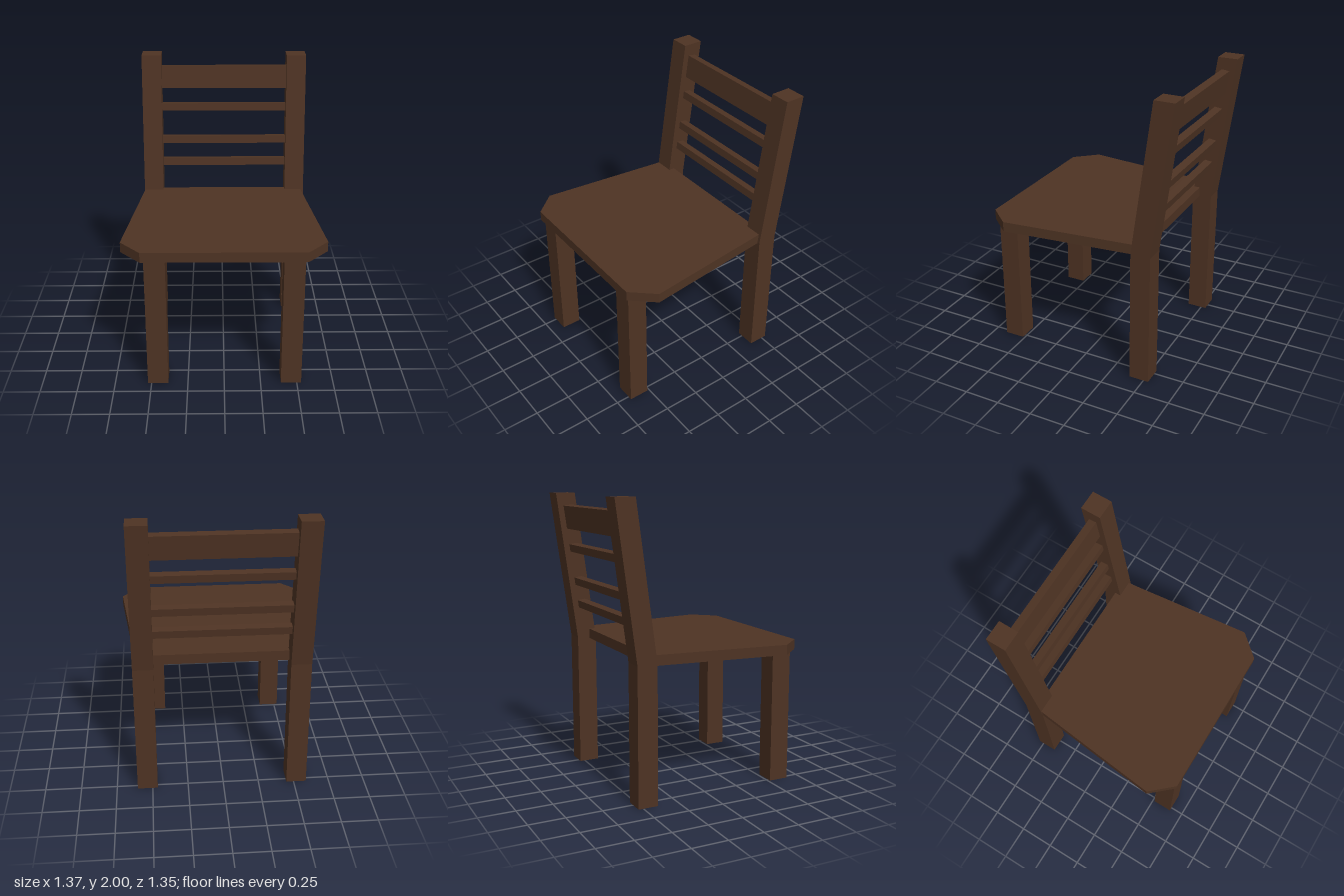
import * as THREE from 'three';

const wood = new THREE.MeshStandardMaterial({ color: 0x4e3323, flatShading: true });
const LEAN = 0.1355; // backward z per unit of height above the seat
const BEND = 0.95;   // height where the back posts start leaning

function add(group, name, geometry) {
  const mesh = new THREE.Mesh(geometry, wood);
  mesh.name = name;
  group.add(mesh);
  return mesh;
}

function box(group, name, [x0, x1], [y0, y1], [z0, z1]) {
  const mesh = add(group, name, new THREE.BoxGeometry(x1 - x0, y1 - y0, z1 - z0));
  mesh.position.set((x0 + x1) / 2, (y0 + y1) / 2, (z0 + z1) / 2);
  return mesh;
}

const polygon = (points) => new THREE.Shape(points.map(([x, y]) => new THREE.Vector2(x, y)));

export function createModel() {
  const chair = new THREE.Group();
  chair.name = 'chair';

  // Tapered seat with clipped front corners, drawn as (x, -z) and laid flat
  const half = [[0.58, 0.445], [0.685, -0.52], [0.545, -0.677]];
  const outline = [...half, ...half.map(([x, y]) => [-x, y]).reverse()];
  const seat = new THREE.ExtrudeGeometry(polygon(outline), { depth: 0.07, bevelEnabled: false });
  seat.rotateX(-Math.PI / 2);
  add(chair, 'seat', seat).position.y = 0.94;

  // Straight front legs
  box(chair, 'rightFrontLeg', [-0.525, -0.385], [0, 0.945], [0.515, 0.655]);
  box(chair, 'leftFrontLeg', [0.39, 0.53], [0, 0.945], [0.515, 0.655]);

  // Back legs that bend at the seat and lean back, side profile as (-z, y)
  const profile = polygon([
    [0.395, 0], [0.535, 0], [0.535, BEND], [0.677, 2], [0.537, 2], [0.395, BEND],
  ]);
  for (const [name, x] of [['rightBackPost', -0.588], ['leftBackPost', 0.465]]) {
    const post = new THREE.ExtrudeGeometry(profile, { depth: 0.14, bevelEnabled: false });
    post.rotateY(Math.PI / 2);
    add(chair, name, post).position.x = x;
  }

  // Top rail and three slats, tilted with the posts
  const rails = [
    ['topRail', 1.833, 0.164], ['upperSlat', 1.614, 0.054],
    ['middleSlat', 1.372, 0.054], ['lowerSlat', 1.205, 0.054],
  ];
  for (const [name, y, height] of rails) {
    const rail = add(chair, name, new THREE.BoxGeometry(0.98, height, 0.055));
    rail.position.set(0.01, y, -0.465 - (y - BEND) * LEAN);
    rail.rotation.x = -Math.atan(LEAN);
  }
  return chair;
}
